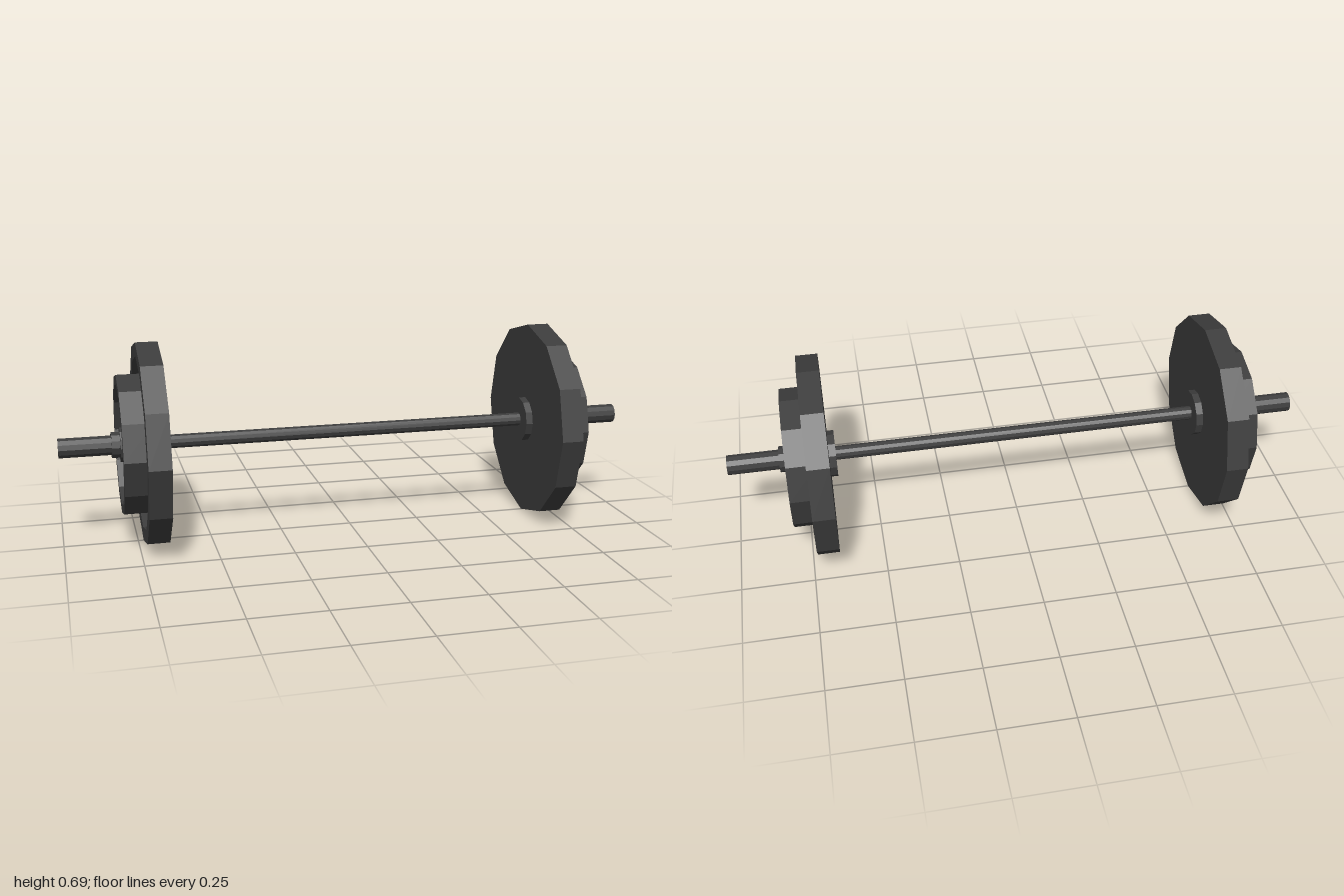
import * as THREE from 'three';

const AXIS_Y = 0.346;
const darkIron = new THREE.MeshStandardMaterial({ color: 0x3c3c3c });
darkIron.name = 'darkIron';

// Faceted 12-sided solid turned around the x axis; profile is [radius, x] from inside to outside
function turned(name, profile) {
  const points = profile.map(([r, x]) => new THREE.Vector2(r, x));
  const geometry = new THREE.LatheGeometry(points, 12).toNonIndexed();
  geometry.rotateZ(-Math.PI / 2);
  geometry.computeVertexNormals();
  const mesh = new THREE.Mesh(geometry, darkIron);
  mesh.name = name;
  return mesh;
}

const disc = (r, x0, x1) => [[0, x0], [r, x0], [r, x1], [0, x1]];

// Plate with a raised rim around a sunken outer face
const dished = (r, rim, x0, x1, depth) =>
  [[0, x0], [r, x0], [r, x1], [rim, x1], [rim, x1 - depth], [0, x1 - depth]];

// Everything loaded on one end of the bar, pointing along +x
function createEnd(name) {
  const end = new THREE.Group();
  end.name = name;
  end.add(
    turned('innerStop', disc(0.08, 0.633, 0.66)),
    turned('largePlate', dished(0.346, 0.298, 0.657, 0.732, 0.025)),
    turned('smallPlate', dished(0.24, 0.208, 0.7, 0.8, 0.035)),
    turned('collarBase', disc(0.06, 0.755, 0.797)),
    turned('collar', disc(0.045, 0.755, 0.825)),
    turned('sleeve', dished(0.034, 0.025, 0.75, 1, 0.006))
  );
  return end;
}

export function createModel() {
  const barbell = new THREE.Group();
  barbell.name = 'barbell';
  const assembly = new THREE.Group();
  assembly.name = 'barAndWeights';
  assembly.position.y = AXIS_Y;

  const leftEnd = createEnd('leftEnd');
  const rightEnd = createEnd('rightEnd');
  rightEnd.rotation.y = Math.PI;

  assembly.add(turned('bar', disc(0.024, -0.64, 0.64)), leftEnd, rightEnd);
  barbell.add(assembly);
  return barbell;
}
